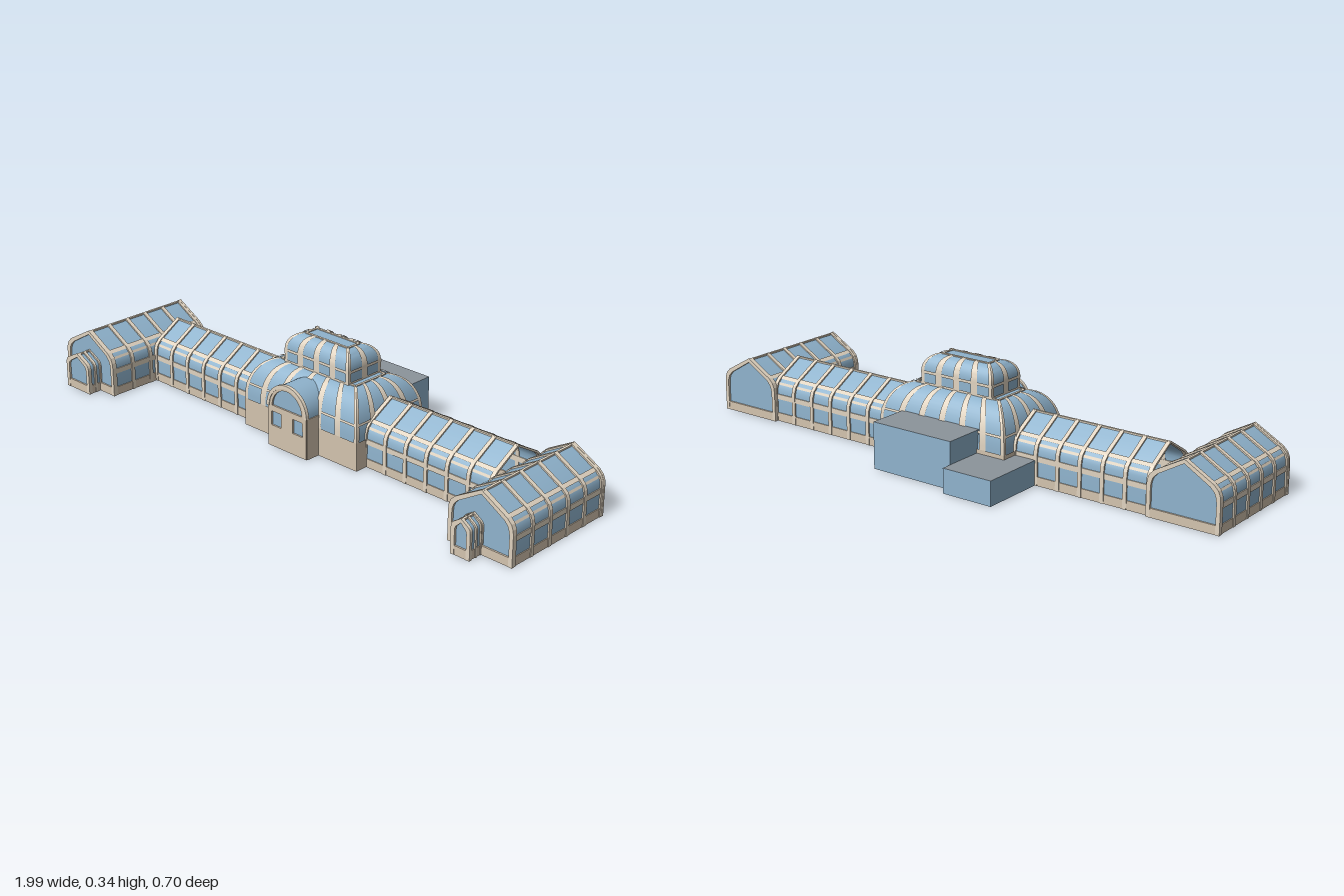
import * as THREE from 'three';
import { toCreasedNormals } from 'three/addons/utils/BufferGeometryUtils.js';

const mat = (color) => new THREE.MeshStandardMaterial({ color, side: THREE.DoubleSide });
const glass = mat(0x8fb3cd), frame = mat(0xe0d3c0), stone = mat(0xd3c3ae), roofGrey = mat(0x8c949b);

function add(parent, name, geometry, material, x = 0, y = 0, z = 0) {
  const m = new THREE.Mesh(geometry, material);
  m.name = name;
  m.position.set(x, y, z);
  parent.add(m);
  return m;
}
// Box given by its min/max corners
function box(parent, name, material, x0, x1, y0, y1, z0, z1) {
  return add(parent, name, new THREE.BoxGeometry(x1 - x0, y1 - y0, z1 - z0), material,
    (x0 + x1) / 2, (y0 + y1) / 2, (z0 + z1) / 2);
}
// Surface through equal-length rows of points
function sheet(rows) {
  const pos = [], idx = [], n = rows[0].length;
  rows.forEach((r) => r.forEach((p) => pos.push(...p)));
  for (let i = 0; i < rows.length - 1; i++)
    for (let j = 0; j < n - 1; j++) {
      const a = i * n + j, b = a + 1, c = a + n, d = c + 1;
      idx.push(a, b, d, a, d, c);
    }
  const g = new THREE.BufferGeometry();
  g.setAttribute('position', new THREE.Float32BufferAttribute(pos, 3));
  g.setIndex(idx);
  return toCreasedNormals(g, 0.5);
}
// Wall, curved eave and straight slope to the ridge; e grows the outline
function gableProfile(w, eave, h, e = 0) {
  const k = h - eave;
  const half = [[1, 0], [1, eave], [0.985, eave + 0.17 * k], [0.93, eave + 0.33 * k], [0.8, eave + 0.48 * k], [0, h]];
  const pts = half.map(([x, y]) => [x * (w + e), y * (1 + e / h)]);
  return [...pts, ...pts.slice(0, -1).reverse().map(([x, y]) => [-x, y])];
}
const toShape = (pts) => new THREE.Shape(pts.map(([x, y]) => new THREE.Vector2(x, y)));
function hoop(outer, inner, depth) {
  const g = new THREE.ExtrudeGeometry(toShape([...outer, ...inner.slice().reverse()]), { depth, bevelEnabled: false });
  return g.translate(0, 0, -depth / 2);
}

// Glasshouse hall running along z
function hall(name, { w, len, bays, h = 0.203, eave = 0.1, gables = true, bands = true, rib = 0.014 }) {
  const g = new THREE.Group();
  g.name = name;
  const p = gableProfile(w, eave, h), L = len / 2;
  add(g, 'glazing', sheet([L, -L].map((z) => p.map(([x, y]) => [x, y, z]))), glass);
  for (let i = 0; i <= bays; i++)
    add(g, 'rib', hoop(gableProfile(w, eave, h, 0.005), gableProfile(w, eave, h, -0.002), rib),
      frame, 0, 0, -L + rib / 2 + (i * (len - rib)) / bays);
  for (const s of [-1, 1]) {
    const sideBand = (n, m, y0, y1) =>
      box(g, n, m, s * w - 0.003, s * w + 0.003, y0, y1, -L, L);
    sideBand('plinth', stone, 0, 0.03);
    if (bands) {
      sideBand('sillBand', frame, 0.08, 0.098);
      // Purlin at the top of the curved eave
      const q = p[4], v = p[3];
      add(g, 'purlin', sheet([L, -L].map((z) => [[s * (q[0] + 0.006), q[1] - 0.001, z],
        [s * (q[0] - 0.006), q[1] + 0.008, z]])), frame);
      add(g, 'eaveStrip', sheet([L, -L].map((z) => [[s * (v[0] + 0.003), v[1] - 0.004, z],
        [s * (v[0] - 0.001), v[1] + 0.004, z]])), frame);
    }
    if (gables) {
      add(g, 'gableGlass', new THREE.ShapeGeometry(toShape(p)), glass, 0, 0, s * (L - 0.004));
      add(g, 'gableRim', hoop(gableProfile(w, eave, h, 0.006), gableProfile(w, eave, h, -0.008), 0.008),
        frame, 0, 0, s * L);
      box(g, 'gablePlinth', stone, -w, w, 0, 0.03, s * L - 0.003, s * L + 0.003);
    }
  }
  box(g, 'ridge', frame, -0.004, 0.004, h - 0.003, h + 0.003, -L, L);
  return g;
}

// Rectangular dome: levels are [inset, y]; the four walls share one curve
function domePoint(side, f, inset, y, hx, hz, out = 0) {
  const a = hx - inset + out, b = hz - inset + out;
  const c = [[-a, b], [a, b], [a, -b], [-a, -b]], p = c[side], q = c[(side + 1) % 4];
  return [p[0] + (q[0] - p[0]) * f, y, p[1] + (q[1] - p[1]) * f];
}
function dome(name, { hx, hz, y0, eave, top, inset, bays, bands }) {
  const g = new THREE.Group();
  g.name = name;
  const levels = [[0, y0]];
  for (let i = 0; i <= 10; i++) {
    const t = (i / 10) * Math.PI / 2;
    levels.push([inset * (1 - Math.cos(t)), eave + (top - eave) * Math.sin(t)]);
  }
  for (let s = 0; s < 4; s++) {
    add(g, 'glazing', sheet(levels.map(([d, y]) => [0, 1].map((f) => domePoint(s, f, d, y, hx, hz)))), glass);
    // Ribs converge from the wall to the crown
    const n = bays[s % 2], half = 0.006 / (s % 2 ? hz : hx);
    for (let i = 0; i <= n; i++) {
      const f = i / n, fs = [Math.max(0, f - half), Math.min(1, f + half)];
      add(g, 'rib', sheet(levels.map(([d, y]) =>
        fs.map((v) => domePoint(s, v, d, y + 0.002, hx, hz, 0.004)))), frame);
    }
    for (const [b0, b1, m] of bands) {
      const at = (y) => (y <= eave ? 0 : inset * (1 - Math.sqrt(Math.max(0, 1 - ((y - eave) / (top - eave)) ** 2))));
      add(g, 'band', sheet([b0, b1].map((y) => [0, 1].map((f) => domePoint(s, f, at(y), y, hx, hz, 0.005)))), m);
    }
  }
  const a = hx - inset, b = hz - inset;
  add(g, 'crown', new THREE.PlaneGeometry(2 * a, 2 * b).rotateX(-Math.PI / 2), glass, 0, top, 0);
  for (const s of [-1, 1]) {
    box(g, 'crownEdge', frame, -a, a, top - 0.003, top + 0.003, s * b - 0.004, s * b + 0.004);
    box(g, 'crownEdge', frame, s * a - 0.004, s * a + 0.004, top - 0.003, top + 0.003, -b, b);
  }
  return g;
}

// Arched front entrance, built at the origin and facing +z
function entrance() {
  const g = new THREE.Group();
  g.name = 'entrance';
  const spring = 0.142, r = 0.087, z0 = 0.05, z1 = 0.183;
  const arch = (rad, n = 20) => Array.from({ length: n + 1 }, (_, i) => {
    const t = (i / n) * Math.PI;
    return [Math.cos(t) * rad, spring + Math.sin(t) * rad];
  });
  add(g, 'vault', sheet([z1, z0].map((z) => arch(r).map(([x, y]) => [x, y, z]))), glass);
  for (const s of [-1, 1]) box(g, 'sideWall', stone, s * r - 0.003, s * r + 0.003, 0, spring, z0, z1);
  const front = toShape([[r, 0], ...arch(r), [-r, 0]]);
  front.holes.push(new THREE.Path(arch(r - 0.02).map(([x, y]) => new THREE.Vector2(x, y + 0.004))));
  for (const s of [-1, 1]) {
    const w = new THREE.Path();
    w.moveTo(s * 0.026, 0.075).lineTo(s * 0.07, 0.075).lineTo(s * 0.07, 0.125).lineTo(s * 0.026, 0.125).closePath();
    front.holes.push(w);
  }
  add(g, 'facade', new THREE.ExtrudeGeometry(front, { depth: 0.006, bevelEnabled: false }), stone, 0, 0, z1 - 0.002);
  add(g, 'facadeGlass', new THREE.ShapeGeometry(toShape([[r, 0.03], ...arch(r), [-r, 0.03]])), glass, 0, 0, z1 - 0.004);
  add(g, 'archRim', hoop(arch(r + 0.004), arch(r - 0.008), 0.012), frame, 0, 0, z1);
  return g;
}

// Open-bottomed annex with a flat roof
function annex(parent, x0, x1, h, z0, z1) {
  const g = new THREE.Group();
  g.name = 'rearAnnex';
  const c = [[x0, z1], [x1, z1], [x1, z0], [x0, z0], [x0, z1]];
  add(g, 'annexWalls', sheet([0, h].map((y) => c.map(([x, z]) => [x, y, z]))), glass);
  add(g, 'annexRoof', new THREE.PlaneGeometry(x1 - x0, z1 - z0).rotateX(-Math.PI / 2), roofGrey,
    (x0 + x1) / 2, h, (z0 + z1) / 2);
  parent.add(g);
}

export function createModel() {
  const model = new THREE.Group();
  model.name = 'conservatory';
  const place = (part, x, y, z, turn = 0) => {
    part.position.set(x, y, z);
    part.rotation.y = turn;
    model.add(part);
  };

  // End pavilions and their porches
  place(hall('rightPavilion', { w: 0.12, len: 0.42, bays: 5, h: 0.205 }), -0.87, 0, 0.083);
  place(hall('leftPavilion', { w: 0.114, len: 0.432, bays: 5, h: 0.202 }), 0.871, 0, 0.052);
  place(hall('rightPorch', { w: 0.055, len: 0.058, bays: 2, h: 0.132, eave: 0.085, bands: false, rib: 0.01 }), -0.878, 0, 0.314);
  place(hall('leftPorch', { w: 0.03, len: 0.055, bays: 2, h: 0.12, eave: 0.085, bands: false, rib: 0.008 }), 0.843, 0, 0.294);

  // Long wings joining the pavilions to the centre
  place(hall('rightWing', { w: 0.108, len: 0.51, bays: 6, gables: false }), -0.497, 0, -0.01, Math.PI / 2);
  place(hall('leftWing', { w: 0.118, len: 0.52, bays: 6, gables: false }), 0.505, 0, -0.033, Math.PI / 2);

  // Central hall and lantern
  place(dome('centralHall', { hx: 0.25, hz: 0.152, y0: 0, eave: 0.11, top: 0.24, inset: 0.083, bays: [6, 4],
    bands: [[0, 0.098, stone], [0.15, 0.158, frame]] }), 0.003, 0, -0.023);
  place(dome('lantern', { hx: 0.14, hz: 0.072, y0: 0.238, eave: 0.283, top: 0.338, inset: 0.046, bays: [4, 2],
    bands: [[0.238, 0.247, frame], [0.276, 0.286, frame]] }), 0.003, 0, -0.021);
  place(entrance(), 0, 0, 0);

  // Rear annexes
  annex(model, -0.145, 0.168, 0.16, -0.315, -0.15);
  annex(model, -0.33, -0.145, 0.084, -0.352, -0.11);
  return model;
}
